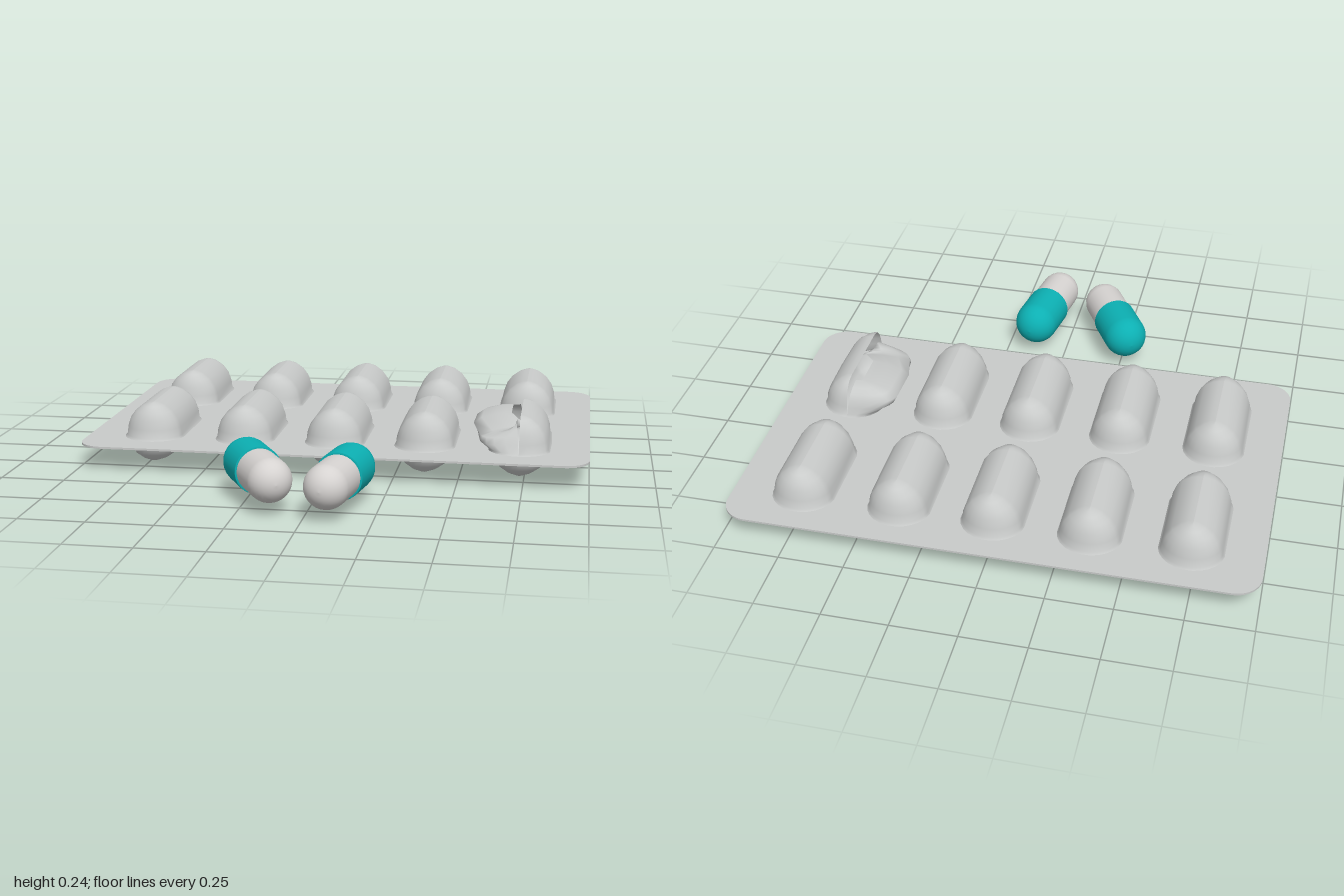
import * as THREE from 'three';

const foil = new THREE.MeshStandardMaterial({ color: 0xc9cbca, side: THREE.DoubleSide });
foil.name = 'silver foil';
const teal = new THREE.MeshStandardMaterial({ color: 0x0cb0b3 });
teal.name = 'teal shell';
const white = new THREE.MeshStandardMaterial({ color: 0xd6d3d1 });
white.name = 'white shell';

// Cross-sections, rising: [y, half width, half length]
const UPPER = [[0.096, 0.125, 0.252], [0.108, 0.114, 0.24], [0.14, 0.11, 0.234], [0.175, 0.098, 0.225],
  [0.205, 0.076, 0.212], [0.228, 0.045, 0.19], [0.237, 0.02, 0.165], [0.24, 0, 0.145]];
const LOWER = [[0, 0, 0.15], [0.003, 0.02, 0.17], [0.014, 0.052, 0.195], [0.035, 0.082, 0.218],
  [0.06, 0.1, 0.237], [0.094, 0.106, 0.247]];
const STRAIGHT = 0.13;

// Lofts stadium rings; an optional warp bends each point
function loft(levels, start, sweep, steps, warp) {
  const closed = sweep >= Math.PI * 2;
  const cols = closed ? steps : steps + 1;
  const pos = [], idx = [];
  for (const [y, hx, hz] of levels) {
    for (let i = 0; i < cols; i++) {
      const a = start + (sweep * i) / steps;
      const s = Math.sin(a);
      const side = Math.abs(s) < 1e-6 ? 0 : Math.sign(s);
      const p = new THREE.Vector3(hx * Math.cos(a), y, side * STRAIGHT + (hz - STRAIGHT) * s);
      if (warp) warp(p, a);
      pos.push(p.x, p.y, p.z);
    }
  }
  for (let j = 0; j < levels.length - 1; j++) {
    for (let i = 0; i < steps; i++) {
      const a = j * cols + i, b = j * cols + ((i + 1) % cols);
      idx.push(a, a + cols, b, b, a + cols, b + cols);
    }
  }
  const g = new THREE.BufferGeometry();
  g.setAttribute('position', new THREE.Float32BufferAttribute(pos, 3));
  g.setIndex(idx);
  g.computeVertexNormals();
  return g;
}

function add(parent, name, geometry, material) {
  const m = new THREE.Mesh(geometry, material);
  m.name = name;
  parent.add(m);
  return m;
}

// Rounded card with a hole under the opened pocket
function sheetGeometry() {
  const x = 1, z0 = -0.935, z1 = 0.355, r = 0.1;
  const s = new THREE.Shape();
  s.moveTo(-x + r, z0);
  s.lineTo(x - r, z0);
  s.absarc(x - r, z0 + r, r, -Math.PI / 2, 0);
  s.absarc(x - r, z1 - r, r, 0, Math.PI / 2);
  s.absarc(-x + r, z1 - r, r, Math.PI / 2, Math.PI);
  s.absarc(-x + r, z0 + r, r, Math.PI, Math.PI * 1.5);
  const hole = new THREE.Path();
  hole.absarc(0.73, 0.14, 0.1, 0, Math.PI);
  hole.absarc(0.73, -0.14, 0.1, Math.PI, Math.PI * 2);
  hole.closePath();
  s.holes.push(hole);
  const g = new THREE.ExtrudeGeometry(s, { depth: 0.008, bevelEnabled: false, curveSegments: 8 });
  return g.rotateX(Math.PI / 2).translate(0, 0.1, 0);
}

// Torn half of the opened pocket: bulges outward, sags on top, dented at the front
function tear(p, a) {
  const t = THREE.MathUtils.clamp((p.y - 0.1) / 0.14, 0, 1);
  const w = Math.min(1, Math.abs(Math.cos(a)) * 1.6);
  p.x -= w * 0.085 * Math.sin(Math.PI * Math.min(1, t * 0.9)) + 0.015 * t;
  p.y -= 0.025 * t * t;
  if (p.z > 0.1) {
    p.z -= 0.05 * t;
    p.y -= 0.03 * t * w;
    p.x += 0.06 * t * w;
  }
}

// Half of a capsule: open tube with a round end, along +y
function halfCapsule(radius, length, lip) {
  const pts = [];
  if (lip) pts.push(new THREE.Vector2(radius - 0.008, 0), new THREE.Vector2(radius - 0.001, 0));
  pts.push(new THREE.Vector2(radius, 0.002));
  for (let i = 0; i <= 8; i++) {
    const a = (i / 8) * Math.PI / 2;
    pts.push(new THREE.Vector2(i === 8 ? 0 : radius * Math.cos(a), length - radius + radius * Math.sin(a)));
  }
  return new THREE.LatheGeometry(pts, 28);
}

function capsule(name, x, z, dx, dz) {
  const g = new THREE.Group();
  g.name = name;
  add(g, 'capsuleCap', halfCapsule(0.09, 0.231, true), teal);
  add(g, 'capsuleBody', halfCapsule(0.083, 0.216, false), white).rotation.x = Math.PI;
  g.position.set(x, 0.124, z);
  g.quaternion.setFromUnitVectors(new THREE.Vector3(0, 1, 0), new THREE.Vector3(dx, 0, dz).normalize());
  return g;
}

export function createModel() {
  const model = new THREE.Group();
  model.name = 'capsulePack';
  add(model, 'foilSheet', sheetGeometry(), foil);

  // Two rows of five pockets
  const STEP = Math.PI / 12;
  const dome = loft(UPPER, STEP / 2, Math.PI * 2, 24);
  const basin = loft(LOWER, STEP / 2, Math.PI * 2, 24);
  const rightShell = loft(UPPER, -Math.PI / 2, Math.PI, 12);
  const tornShell = loft(UPPER, Math.PI / 2, Math.PI, 12, tear);
  for (const [z, scale] of [[-0.617, 0.945], [0, 1]]) {
    for (const x of [-0.735, -0.363, 0, 0.358, 0.73]) {
      const open = x > 0.7 && z === 0;
      const pocket = new THREE.Group();
      pocket.name = open ? 'openPocket' : 'pocket';
      if (open) {
        add(pocket, 'intactHalf', rightShell, foil);
        add(pocket, 'tornHalf', tornShell, foil);
      } else {
        add(pocket, 'pocketDome', dome, foil);
      }
      add(pocket, 'pocketUnderside', basin, foil);
      pocket.position.set(x, 0, z);
      pocket.scale.z = scale;
      model.add(pocket);
    }
  }

  // Two loose capsules in front
  model.add(capsule('rightCapsule', -0.194, 0.677, -0.13, -0.235));
  model.add(capsule('leftCapsule', 0.108, 0.714, 0.045, -0.27));
  return model;
}
